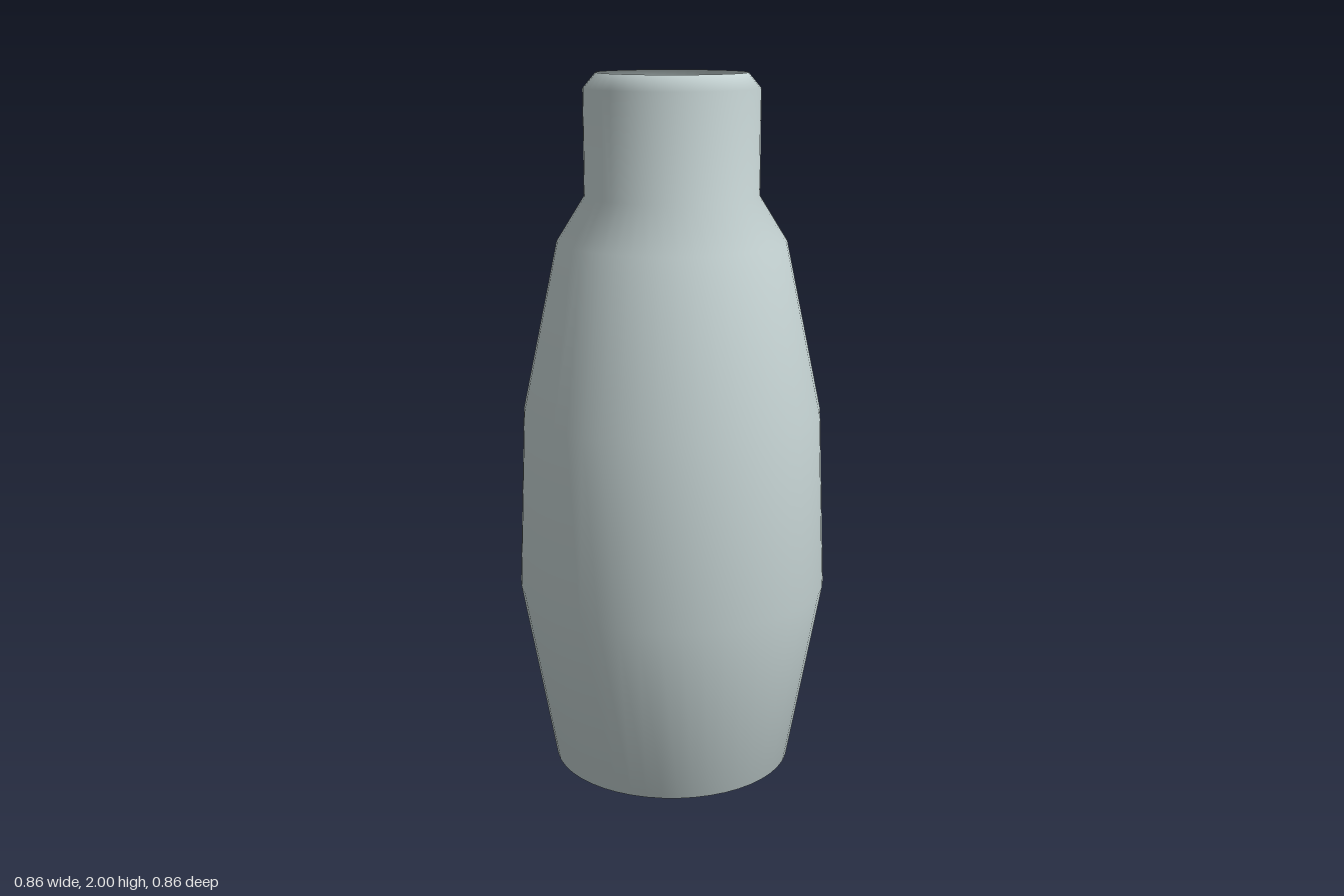
import * as THREE from 'three';

export function createModel() {
  const group = new THREE.Group();
  group.name = 'bottle';

  const glaze = new THREE.MeshStandardMaterial({ color: 0xc6d4d4, side: THREE.DoubleSide });
  glaze.name = 'pale grey glaze';

  // Thin-walled profile from the base centre up to the open rim: [radius, height]
  const profile = [
    [0, 0], [0.195, 0.005], [0.335, 0.08], // closed base and foot bevel
    [0.428, 0.6], [0.408, 1.1], [0.31, 1.56], // body
    [0.235, 1.68], [0.235, 1.96], [0.201, 2], // neck and bevelled lip
  ].map(([r, y]) => new THREE.Vector2(r, y));

  const body = new THREE.Mesh(new THREE.LatheGeometry(profile, 48), glaze);
  body.name = 'bottleBody';
  group.add(body);
  return group;
}
